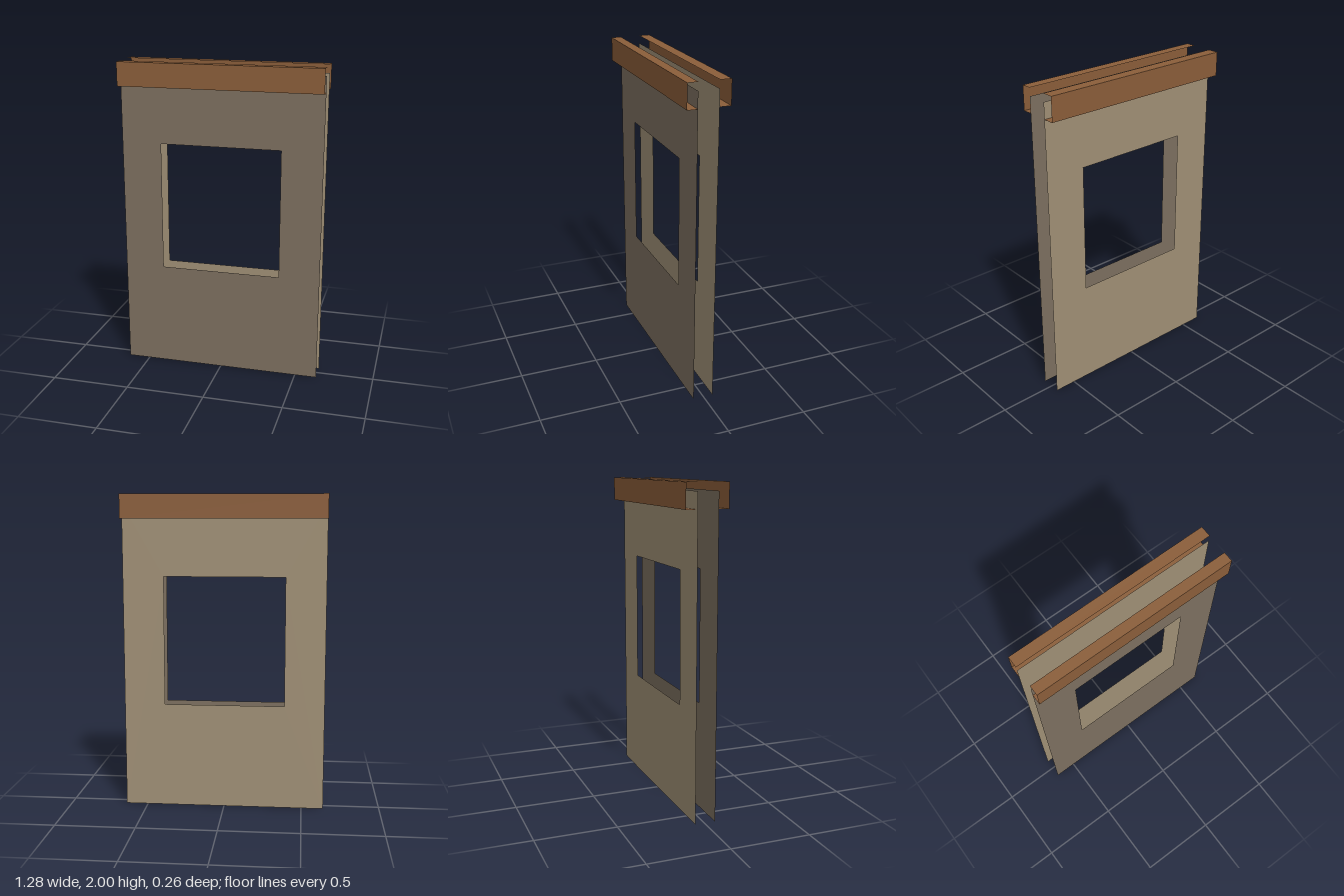
import * as THREE from 'three';

const WIDTH = 1.28;
const WALL_TOP = 1.95;
const RAIL_BOTTOM = 1.85;
const RAIL_TOP = 2.0;

const material = (name, color) =>
  new THREE.MeshStandardMaterial({ name, color, side: THREE.DoubleSide });

// Flat sheet with a rectangular window opening
function wallSheet(name, z, mat) {
  const w = WIDTH / 2;
  const shape = new THREE.Shape([
    new THREE.Vector2(-w, 0), new THREE.Vector2(w, 0),
    new THREE.Vector2(w, WALL_TOP), new THREE.Vector2(-w, WALL_TOP),
  ]);
  shape.holes.push(new THREE.Path([
    new THREE.Vector2(-0.385, 0.67), new THREE.Vector2(-0.385, 1.49),
    new THREE.Vector2(0.38, 1.49), new THREE.Vector2(0.38, 0.67),
  ]));
  const geometry = new THREE.ShapeGeometry(shape);
  if (z < 0) geometry.rotateY(Math.PI).scale(-1, 1, 1);
  // Restore the winding after mirroring so the back sheet faces outward
  if (z < 0) {
    const index = geometry.index.array;
    for (let i = 0; i < index.length; i += 3) {
      [index[i], index[i + 1]] = [index[i + 1], index[i]];
    }
    geometry.computeVertexNormals();
  }
  const mesh = new THREE.Mesh(geometry, mat);
  mesh.name = name;
  mesh.position.z = z;
  return mesh;
}

// Open channel: outer face with top and bottom flanges reaching to the wall
function rail(name, zInner, zOuter, mat) {
  const group = new THREE.Group();
  group.name = name;
  const height = RAIL_TOP - RAIL_BOTTOM;
  const depth = Math.abs(zOuter - zInner);
  const zMid = (zInner + zOuter) / 2;
  const add = (part, h, y, z, rx, ry) => {
    const mesh = new THREE.Mesh(new THREE.PlaneGeometry(WIDTH, h), mat);
    mesh.name = part;
    mesh.position.set(0, y, z);
    mesh.rotation.set(rx, ry, 0);
    group.add(mesh);
  };
  add('railFace', height, (RAIL_TOP + RAIL_BOTTOM) / 2, zOuter, 0, zOuter > 0 ? 0 : Math.PI);
  add('railTopFlange', depth, RAIL_TOP, zMid, -Math.PI / 2, 0);
  add('railBottomFlange', depth, RAIL_BOTTOM, zMid, Math.PI / 2, 0);
  return group;
}

export function createModel() {
  const frontPaint = material('grey brown plaster', 0x7d7060);
  const backPaint = material('light tan plaster', 0xa09076);
  const wood = material('brown wood', 0x8b5e3a);

  const model = new THREE.Group();
  model.name = 'windowWall';
  model.add(
    wallSheet('frontWall', 0.067, frontPaint),
    wallSheet('backWall', -0.06, backPaint),
    rail('frontRail', 0.067, 0.13, wood),
    rail('backRail', -0.06, -0.13, wood),
  );
  return model;
}
